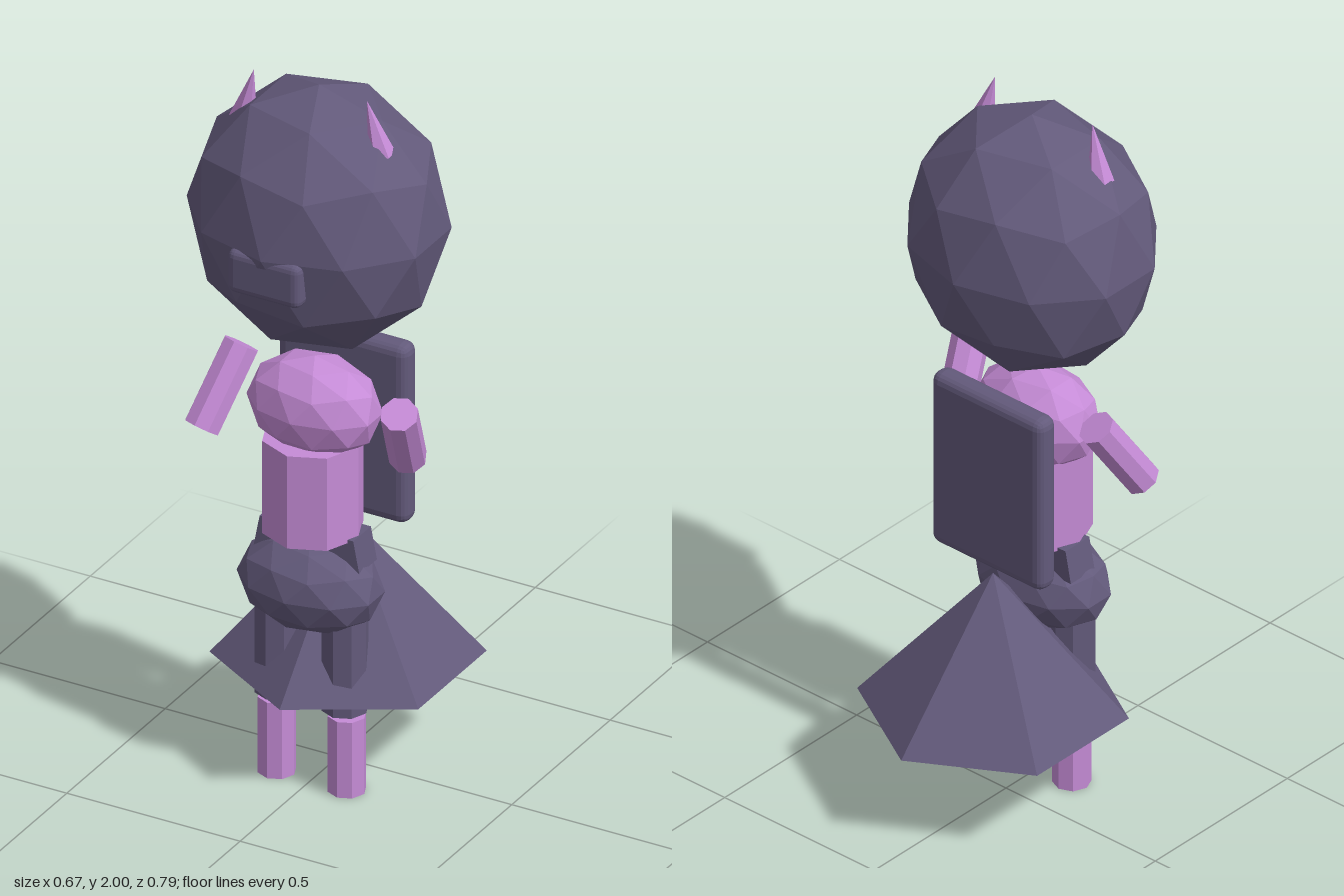
import * as THREE from 'three';
import { RoundedBoxGeometry } from 'three/addons/geometries/RoundedBoxGeometry.js';

export function createModel() {
  const model = new THREE.Group();
  const material = (name, color) => {
    const m = new THREE.MeshStandardMaterial({ color, flatShading: true });
    m.name = name;
    return m;
  };
  const slate = material('slate violet', 0x635a7b);
  const lilac = material('lilac', 0xc58bd6);

  const add = (name, geometry, mat, x, y, z) => {
    const mesh = new THREE.Mesh(geometry, mat);
    mesh.name = name;
    mesh.position.set(x, y, z);
    model.add(mesh);
    return mesh;
  };

  // Faceted ball with a vertex at each pole, stretched to three radii
  const ball = (rx, ry, rz) => {
    const tilt = Math.atan(2 / (1 + Math.sqrt(5)));
    return new THREE.IcosahedronGeometry(1, 1).rotateZ(-tilt).scale(rx, ry, rz);
  };

  // Tapered cylinder running between two points
  const limb = (name, from, to, r0, r1, sides, mat) => {
    const a = new THREE.Vector3(...from), b = new THREE.Vector3(...to);
    const axis = b.clone().sub(a);
    const c = a.clone().add(b).multiplyScalar(0.5);
    const mesh = add(name, new THREE.CylinderGeometry(r1, r0, axis.length(), sides), mat, c.x, c.y, c.z);
    mesh.quaternion.setFromUnitVectors(new THREE.Vector3(0, 1, 0), axis.normalize());
    return mesh;
  };

  // Head and face plate
  add('head', ball(0.347, 0.365, 0.298), slate, 0, 1.615, 0.098);
  add('muzzle', new RoundedBoxGeometry(0.21, 0.125, 0.06, 2, 0.022), slate, 0, 1.556, 0.359);

  // Body
  add('chest', ball(0.184, 0.137, 0.127), lilac, 0, 1.075, 0.12);
  add('torso', new THREE.CylinderGeometry(0.132, 0.132, 0.265, 8), lilac, 0, 0.858, 0.13);
  add('hips', ball(0.2, 0.13, 0.138), slate, 0, 0.575, 0.14);

  // Waist block, flaring towards the hips
  const waist = new THREE.BoxGeometry(0.27, 0.09, 0.09);
  const p = waist.attributes.position;
  for (let i = 0; i < p.count; i++) if (p.getY(i) < 0) p.setX(i, p.getX(i) * 1.13);
  add('waist', waist, slate, 0, 0.69, 0.118);

  // Six-sided skirt and flat back panel
  add('skirt', new THREE.ConeGeometry(0.348, 0.392, 6), slate, 0, 0.476, -0.049);
  add('backPanel', new RoundedBoxGeometry(0.375, 0.512, 0.068, 2, 0.028), slate, -0.001, 0.957, -0.048);

  // Paired ears and legs
  for (const s of [1, -1]) {
    const side = s > 0 ? 'left' : 'right';
    limb(side + 'Ear', [s * 0.2, 1.85, 0.132], [s * 0.163, 2.0, 0.143], 0.036, 0, 6, lilac);
    limb(side + 'Thigh', [s * 0.097, 0.235, 0.138], [s * 0.097, 0.55, 0.138], 0.061, 0.061, 8, slate);
    limb(side + 'Shin', [s * 0.101, 0, 0.135], [s * 0.101, 0.217, 0.135], 0.05, 0.05, 8, lilac);
  }

  // Arms swing in opposite directions
  limb('leftArm', [0.24, 0.962, 0.07], [0.285, 1.156, 0.193], 0.049, 0.049, 8, lilac);
  limb('rightArm', [-0.285, 0.962, 0.193], [-0.24, 1.156, 0.07], 0.049, 0.049, 8, lilac);

  return model;
}
